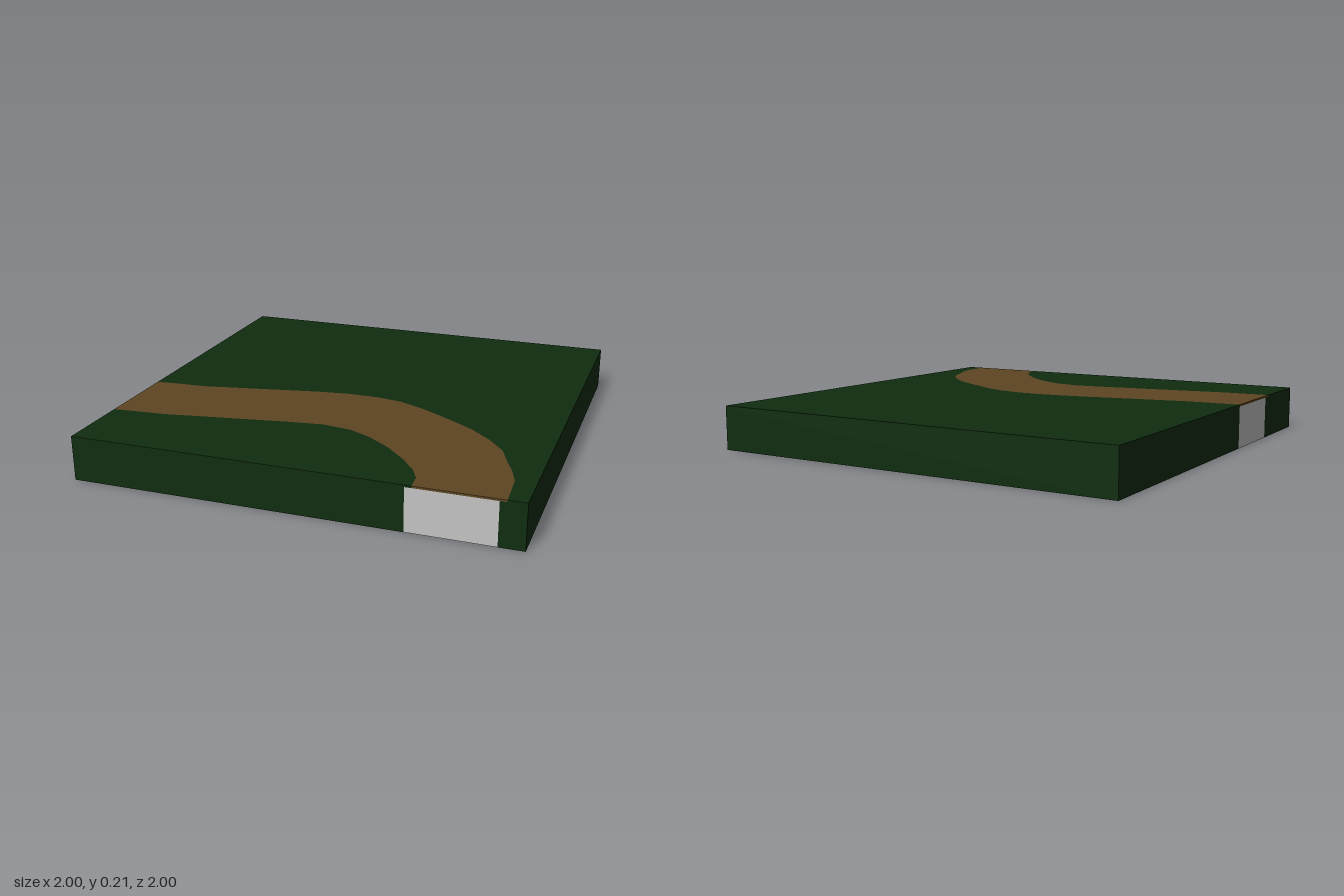
import * as THREE from 'three';

const BED_TOP = 0.197;
const TOP = 0.206;

// Path edges as [x, z], running from the -x side round to the front side
const pathBack = [[-1, 0.25], [-0.92, 0.24], [-0.75, 0.23], [-0.6, 0.2], [-0.4, 0.16], [-0.2, 0.12], [-0.05, 0.1],
  [0.1, 0.1], [0.22, 0.12], [0.35, 0.18], [0.5, 0.27], [0.62, 0.35], [0.72, 0.44], [0.8, 0.54], [0.84, 0.64],
  [0.88, 0.73], [0.91, 0.82], [0.92, 1]];
const pathFront = [[-1, 0.65], [-0.75, 0.63], [-0.58, 0.6], [-0.4, 0.57], [-0.2, 0.535], [-0.02, 0.51], [0.12, 0.53],
  [0.22, 0.58], [0.33, 0.66], [0.43, 0.76], [0.5, 0.85], [0.535, 0.92], [0.54, 1]];

// Edges of the stone bed below the path
const bedBack = [[-1, 0.25], [-0.65, 0.255], [-0.38, 0.25], [0, 0.22], [0.15, 0.21], [0.27, 0.23], [0.45, 0.33],
  [0.62, 0.44], [0.76, 0.56], [0.84, 0.72], [0.89, 0.88], [0.89, 1]];
const bedFront = [[-1, 0.61], [-0.58, 0.625], [-0.32, 0.62], [-0.01, 0.56], [0.12, 0.6], [0.28, 0.72], [0.43, 0.84],
  [0.51, 0.93], [0.51, 1]];

export function createModel() {
  const grass = new THREE.MeshStandardMaterial({ name: 'grass green', color: 0x0f2d0f });
  const dirt = new THREE.MeshStandardMaterial({ name: 'dirt brown', color: 0x5d4522 });
  const stone = new THREE.MeshStandardMaterial({ name: 'stone grey', color: 0xc4c4c4 });
  const model = new THREE.Group();
  model.name = 'pathTile';

  // Upright prism over a ground outline
  function prism(name, outline, y0, y1, material) {
    const shape = new THREE.Shape(outline.map(([x, z]) => new THREE.Vector2(x, -z)));
    const geometry = new THREE.ExtrudeGeometry(shape, { depth: y1 - y0, bevelEnabled: false });
    geometry.rotateX(-Math.PI / 2).translate(0, y0, 0);
    const mesh = new THREE.Mesh(geometry, material);
    mesh.name = name;
    model.add(mesh);
  }

  // One layer: ground behind and in front of a winding strip, plus the strip
  function layer(prefix, back, front, y0, y1, material) {
    prism(prefix, [...back, ...front.slice().reverse()], y0, y1, material);
    prism(prefix + 'BackGround', [...back, [1, 1], [1, -1], [-1, -1]], y0, y1, grass);
    prism(prefix + 'FrontGround', [...front, [-1, 1]], y0, y1, grass);
  }

  layer('stoneBed', bedBack, bedFront, 0, BED_TOP, stone);
  layer('dirtPath', pathBack, pathFront, BED_TOP, TOP, dirt);
  return model;
}
